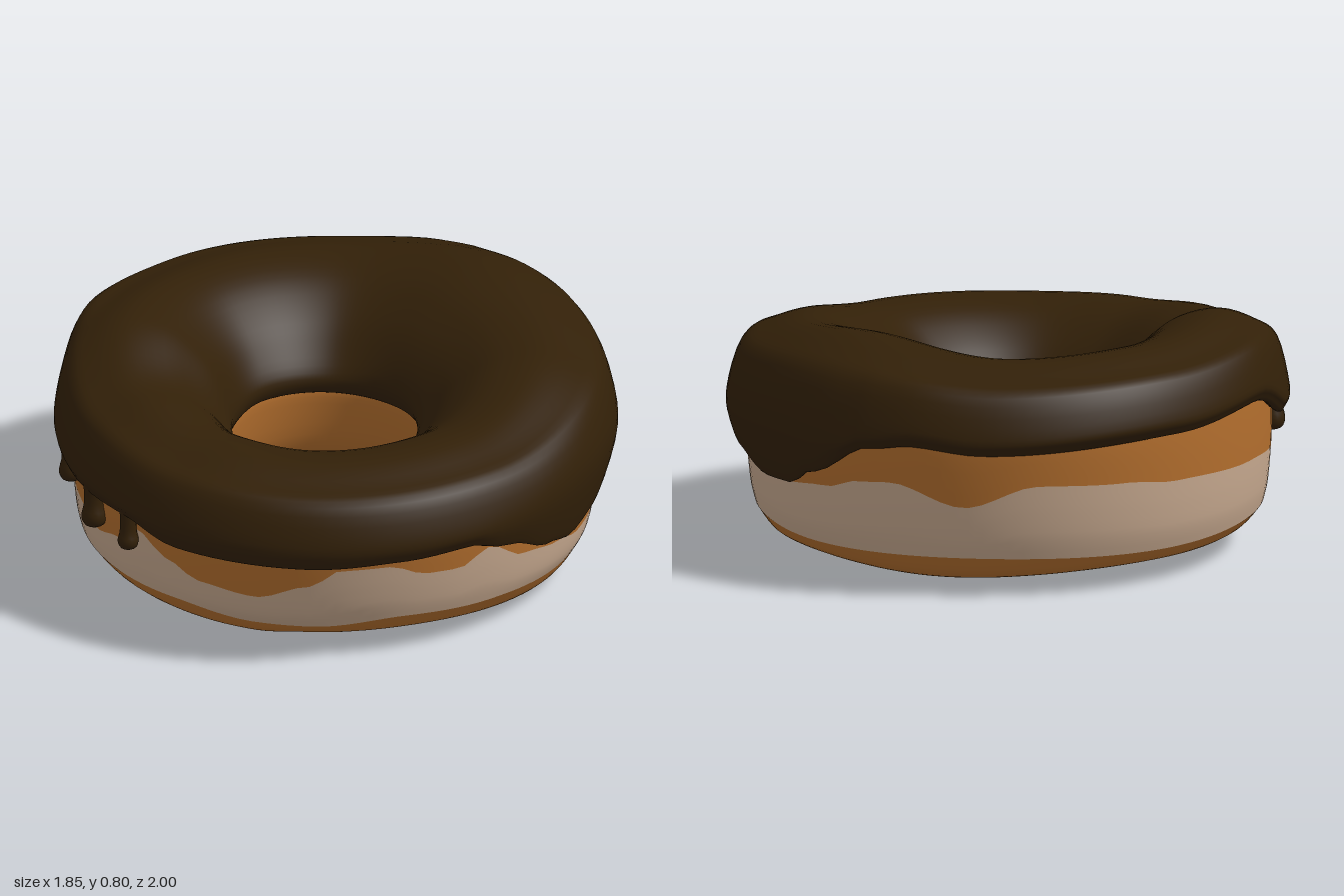
import * as THREE from 'three';

const SEGMENTS = 120;
const TAU = Math.PI * 2;
const { lerp, clamp, smoothstep } = THREE.MathUtils;

const paint = (name, color) => Object.assign(new THREE.MeshStandardMaterial({ color }), { name });

// Value that varies smoothly round the ring: [degrees, value] pairs, 0 = front, 90 = +x.
function around(pairs) {
  return (a) => {
    const d = (((a * 360) / TAU) % 360 + 360) % 360;
    let k = pairs.length - 1;
    while (k > 0 && pairs[k][0] > d) k--;
    const [d0, v0] = pairs[k];
    const [d1, v1] = k + 1 < pairs.length ? pairs[k + 1] : [360, pairs[0][1]];
    return lerp(v0, v1, smoothstep(d, d0, d1));
  };
}

// Heights of the icing crest, its outer and inner edges, the cream band and the underside
const crest = around([[0, 0.66], [45, 0.67], [90, 0.74], [140, 0.8], [185, 0.755], [225, 0.765],
  [265, 0.79], [300, 0.705], [330, 0.67]]);
const outerEdge = around([[0, 0.375], [20, 0.39], [35, 0.4], [45, 0.36], [58, 0.29], [67, 0.262], [77, 0.29],
  [90, 0.36], [99, 0.39], [109, 0.36], [122, 0.315], [132, 0.32], [140, 0.38], [155, 0.49], [165, 0.51],
  [180, 0.49], [225, 0.52], [250, 0.55], [272, 0.44], [295, 0.41], [315, 0.415], [330, 0.375]]);
const innerEdge = around([[0, 0.36], [45, 0.36], [135, 0.41], [225, 0.42], [270, 0.38], [315, 0.355]]);
const creamTop = around([[0, 0.28], [7, 0.345], [18, 0.35], [27, 0.305], [35, 0.3], [42, 0.35], [53, 0.27],
  [66, 0.24], [75, 0.21], [86, 0.21], [91, 0.27], [99, 0.36], [111, 0.35], [128, 0.31], [142, 0.33],
  [152, 0.37], [160, 0.38], [176, 0.31], [192, 0.385], [212, 0.375], [225, 0.355], [253, 0.34], [275, 0.32],
  [288, 0.29], [299, 0.25], [308, 0.28], [316, 0.36], [325, 0.29], [333, 0.24], [347, 0.22]]);
const creamBottom = around([[0, 0.1], [22, 0.14], [45, 0.13], [70, 0.115], [100, 0.14], [135, 0.12],
  [180, 0.13], [225, 0.12], [275, 0.14], [325, 0.135], [346, 0.1]]);
const base = around([[0, 0.03], [25, 0.04], [80, 0], [125, 0.035], [165, 0.015], [225, 0.045],
  [270, 0.06], [345, 0.018]]);

// Point at angle a; u runs from 0 on the hole to 1 on the outer rim
const place = (a, u, y) => new THREE.Vector3(
  lerp(-0.035 + 0.305 * Math.sin(a), 0.925 * Math.sin(a), u), y,
  lerp(0.02 + 0.32 * Math.cos(a), Math.cos(a), u));

// Sweeps a profile of [u, y] points, which changes with the angle, round the ring
function ring(profile, steps) {
  const positions = [], index = [];
  for (let i = 0; i < SEGMENTS; i++) {
    const a = (i / SEGMENTS) * TAU;
    const curve = new THREE.SplineCurve(profile(a).map(([u, y]) => new THREE.Vector2(u, y)));
    for (let j = 0; j <= steps; j++) {
      const p = curve.getPoint(j / steps);
      positions.push(...place(a, p.x, Math.max(0, p.y)).toArray());
    }
  }
  const row = steps + 1;
  for (let i = 0; i < SEGMENTS; i++) {
    for (let j = 0; j < steps; j++) {
      const p = i * row + j, q = ((i + 1) % SEGMENTS) * row + j;
      index.push(p, q, q + 1, p, q + 1, p + 1);
    }
  }
  const geometry = new THREE.BufferGeometry();
  geometry.setAttribute('position', new THREE.Float32BufferAttribute(positions, 3));
  geometry.setIndex(index);
  geometry.computeVertexNormals();
  return geometry;
}

// The dough tucks in low at the front and leans out high at the back
function lean(a, y) {
  const c = Math.cos(a);
  return c > 0
    ? -c * c * lerp(0.085, 0.015, clamp((y - 0.1) / 0.3, 0, 1))
    : c * c * lerp(0, 0.05, clamp((y - 0.15) / 0.35, 0, 1));
}

// Outer wall of the dough as u for a given angle and height
const wallShape = new THREE.SplineCurve([[0.79, 0.08], [0.855, 0.14], [0.885, 0.24], [0.9, 0.4], [0.9, 0.64]]
  .map(([u, y]) => new THREE.Vector2(u, y))).getPoints(60);
function wall(a, y) {
  const k = Math.max(1, wallShape.findIndex((p) => p.y >= y));
  const p = wallShape[k - 1], q = wallShape[k];
  return lerp(p.x, q.x, (y - p.y) / (q.y - p.y)) + lean(a, y);
}
const wallBand = (low, high) => (a) => [0, 1, 2, 3, 4].map((k) => {
  const y = lerp(low(a), high(a), k / 4);
  return [wall(a, y), y];
});

function icingProfile(a) {
  const e = outerEdge(a), t = crest(a), n = innerEdge(a);
  const widest = Math.max(0.2 + 0.4 * t, e + 0.06);
  const lip = 0.965 - 0.35 * clamp(0.38 - e, 0, 0.12);
  return [[0.87 + lean(a, e), e + 0.03], [lip - 0.02, e], [lip + 0.015, e + 0.02], [1, widest],
    [0.93, t - 0.36 * (t - widest)], [0.8, t - 0.035], [0.6, t], [0.38, t - 0.03], [0.2, t - 0.11],
    [0.08, t - 0.2], [0, lerp(t - 0.2, n, 0.6)], [0.03, n], [0.07, n]];
}

function crustProfile(a) {
  const n = innerEdge(a), b = base(a), low = creamBottom(a), s = lean(a, 0.08);
  return [[0.07, n + 0.02], [0.06, n - 0.04], [0.12, 0.2], [0.27, b + 0.05], [0.47, b], [0.66 + s / 2, b + 0.018],
    [0.77 + s, 0.5 * b + 0.055], [wall(a, low), low]];
}

export function createModel() {
  const model = new THREE.Group();
  model.name = 'doughnut';
  const chocolate = paint('chocolate', 0x322008);
  const dough = paint('dough', 0xb46f2e);
  const cream = paint('cream', 0xc8aa90);

  const add = (name, geometry, material) => {
    const mesh = new THREE.Mesh(geometry, material);
    mesh.name = name;
    model.add(mesh);
    return mesh;
  };

  add('lowerCrust', ring(crustProfile, 32), dough);
  add('creamBand', ring(wallBand(creamBottom, creamTop), 8), cream);
  add('upperCrust', ring(wallBand(creamTop, (a) => outerEdge(a) + 0.05), 6), dough);
  add('icing', ring(icingProfile, 48), chocolate);

  // Drips hanging from the icing: angle, lowest point, bulb radius
  [[-75, 0.325, 0.04], [-58.5, 0.28, 0.043], [-45, 0.285, 0.035]].forEach(([deg, bottom, r], i) => {
    const top = 0.46 - bottom;
    const profile = new THREE.SplineCurve([[0, 0], [r * 0.75, r * 0.3], [r, r], [r * 0.8, r * 2],
      [r * 0.8, top * 0.75], [r, top]].map(([x, y]) => new THREE.Vector2(x, y))).getPoints(16);
    profile.forEach((p) => { p.x = Math.max(0, p.x); });
    const drip = add('icingDrip' + (i + 1), new THREE.LatheGeometry(profile, 14), chocolate);
    drip.position.copy(place((deg * TAU) / 360, 0.925, bottom));
  });

  return model;
}
